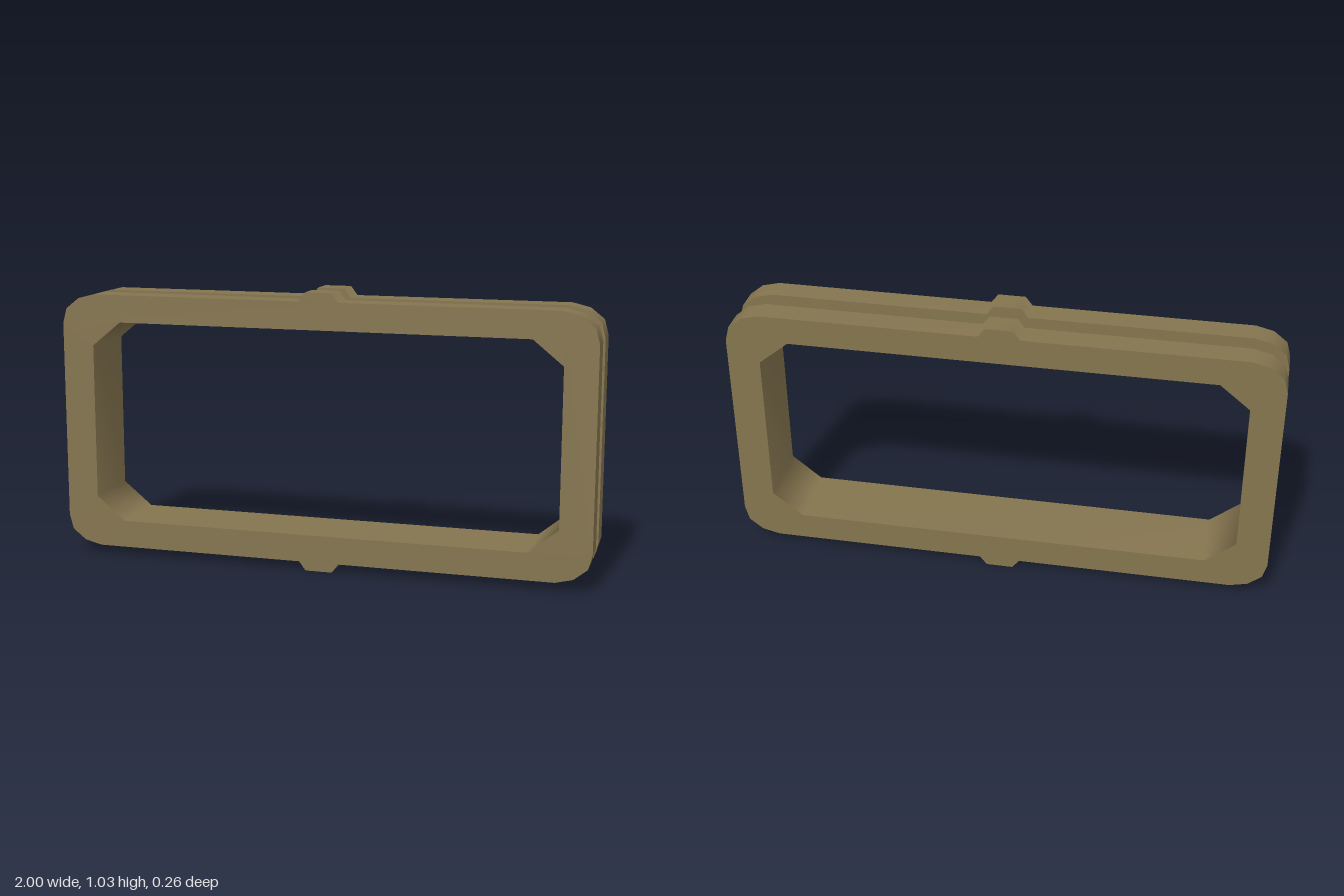
import * as THREE from 'three';

const CENTER_Y = 0.515;
const OUTER_Z = 0.128; // half depth of the whole frame
const GROOVE_Z = 0.036; // half width of the groove between the two rims

// First-quadrant outlines, counter-clockwise, relative to the frame centre
const RIM_QUARTER = [
  [1, 0.37], [0.985, 0.426], [0.935, 0.466], [0.87, 0.482],
  [0.075, 0.482], [0.05, 0.515],
];
const OPENING_QUARTER = [[0.88, 0.29], [0.77, 0.38]];

// Mirror a quarter outline into a full counter-clockwise loop
function mirrorLoop(quarter) {
  const back = [...quarter].reverse();
  const flip = (list, sx, sy) => list.map(([x, y]) => new THREE.Vector2(x * sx, y * sy));
  return [
    ...flip(quarter, 1, 1), ...flip(back, -1, 1),
    ...flip(quarter, -1, -1), ...flip(back, 1, -1),
  ];
}

// Smooth-shaded band that sweeps a loop from z0 to z1
function wallGeometry(loop, z0, z1) {
  const positions = [];
  const index = [];
  const n = loop.length;
  loop.forEach((p, i) => {
    positions.push(p.x, p.y, z0, p.x, p.y, z1);
    const a = 2 * i;
    const b = 2 * ((i + 1) % n);
    index.push(a, b, b + 1, a, b + 1, a + 1);
  });
  const geometry = new THREE.BufferGeometry();
  geometry.setAttribute('position', new THREE.Float32BufferAttribute(positions, 3));
  geometry.setIndex(index);
  geometry.computeVertexNormals();
  return geometry;
}

export function createModel() {
  const model = new THREE.Group();
  model.name = 'groovedFrame';
  const material = new THREE.MeshStandardMaterial({ color: 0x85754f });
  const thinMaterial = material.clone();
  thinMaterial.side = THREE.DoubleSide;

  const rimLoop = mirrorLoop(RIM_QUARTER);
  const openingLoop = mirrorLoop(OPENING_QUARTER);
  const face = new THREE.Shape(rimLoop);
  face.holes.push(new THREE.Path(openingLoop));
  const faceGeometry = new THREE.ShapeGeometry(face);
  const rimGeometry = wallGeometry(rimLoop, GROOVE_Z, OUTER_Z);

  function add(parent, name, geometry, mat = material) {
    const mesh = new THREE.Mesh(geometry, mat);
    mesh.name = name;
    parent.add(mesh);
    return mesh;
  }

  // Two identical rims with tabs, one at the front and one turned to the back
  for (const [name, angle] of [['frontRim', 0], ['backRim', Math.PI]]) {
    const rim = new THREE.Group();
    rim.name = name;
    add(rim, 'outerEdge', rimGeometry);
    add(rim, 'outerFace', faceGeometry).position.z = OUTER_Z;
    const grooveFace = add(rim, 'grooveFace', faceGeometry);
    grooveFace.rotation.y = Math.PI;
    grooveFace.position.z = GROOVE_Z;
    rim.rotation.y = angle;
    rim.position.y = CENTER_Y;
    model.add(rim);
  }

  // Thin lining of the opening, which is also the floor of the groove
  const lining = wallGeometry([...openingLoop].reverse(), -OUTER_Z, OUTER_Z);
  add(model, 'innerLining', lining, thinMaterial).position.y = CENTER_Y;

  return model;
}
